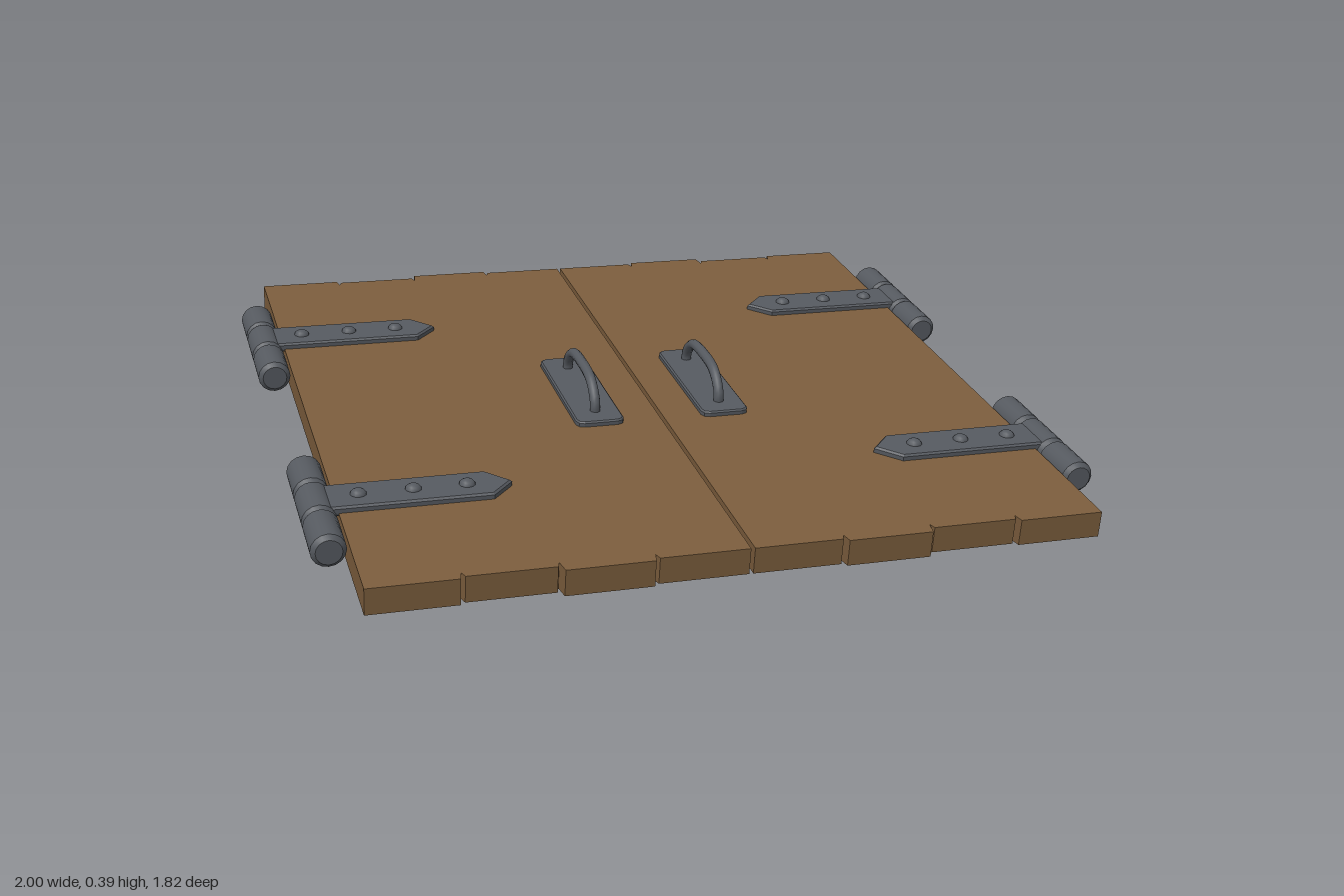
import * as THREE from 'three';
import { toCreasedNormals } from 'three/addons/utils/BufferGeometryUtils.js';

const wood = new THREE.MeshStandardMaterial({ color: 0x7a5c3c, side: THREE.DoubleSide });
const iron = new THREE.MeshStandardMaterial({ color: 0x55595f });
const TOP = 0.034; // half the plank thickness

function add(parent, name, geometry, material, x = 0, y = 0, z = 0) {
  const mesh = new THREE.Mesh(geometry, material);
  mesh.name = name;
  mesh.position.set(x, y, z);
  parent.add(mesh);
  return mesh;
}

// Flat outline in x and -z, thickened upwards from y = 0
function slab(points, depth, bevel = 0) {
  const shape = new THREE.Shape(points.map(([x, y]) => new THREE.Vector2(x, y)));
  const geometry = new THREE.ExtrudeGeometry(shape, {
    depth: depth - bevel, bevelEnabled: bevel > 0, bevelThickness: bevel,
    bevelSize: bevel, bevelOffset: -bevel, bevelSegments: 1,
  });
  return geometry.rotateX(-Math.PI / 2);
}

// Door leaf: four planks of uneven length, notched between, open underneath
function doorGeometry(side) {
  const edges = [0.005, 0.233, 0.46, 0.687, 0.911];
  const halves = [0.907, 0.917, 0.898, 0.907];
  const front = [];
  halves.forEach((h, i) => {
    front.push([side * (edges[i] + (i ? 0.006 : 0)), h]);
    front.push([side * (edges[i + 1] - (i < 3 ? 0.006 : 0)), h]);
    if (i < 3) front.push([side * edges[i + 1], Math.min(h, halves[i + 1]) - 0.018]);
  });
  const back = front.map(([x, z]) => [x, -z]).reverse();
  const geometry = slab([...front, ...back], TOP * 2);
  // drop the lower lid, which comes first
  const start = geometry.groups[0].count / 2;
  const shell = new THREE.BufferGeometry();
  for (const key of ['position', 'normal']) {
    shell.setAttribute(key, new THREE.BufferAttribute(geometry.attributes[key].array.slice(start * 3), 3));
  }
  return shell.translate(0, -TOP, 0);
}

// One bevelled hinge knuckle along z
function knuckleGeometry(length) {
  const h = length / 2, r = 0.043, b = 0.011;
  const profile = [[0, -h], [r - b, -h], [r, -h + b], [r, h - b], [r - b, h], [0, h]]
    .map(([x, y]) => new THREE.Vector2(x, y));
  return toCreasedNormals(new THREE.LatheGeometry(profile, 16).rotateX(Math.PI / 2), 0.6);
}

function createHinge(side, z) {
  const hinge = new THREE.Group();
  hinge.name = 'hinge';
  hinge.position.z = z;
  const length = 0.1425;
  for (const i of [-1, 0, 1]) {
    add(hinge, 'hingeKnuckle', knuckleGeometry(length), iron, side * 0.957, 0.018, i * length);
  }
  // pointed strap with three rivets
  const strap = [[0.955, -0.061], [0.955, 0.061], [0.535, 0.061], [0.478, 0], [0.535, -0.061]]
    .map(([x, y]) => [side * x, y]);
  add(hinge, 'hingeStrap', slab(strap, 0.02, 0.005), iron, 0, 0.03, 0);
  for (const x of [0.59, 0.722, 0.855]) {
    const rivet = new THREE.SphereGeometry(0.021, 12, 8).scale(1, 0.8, 1);
    add(hinge, 'rivet', rivet, iron, side * x, 0.047, 0);
  }
  return hinge;
}

function createHandle(side) {
  const handle = new THREE.Group();
  handle.name = 'handle';
  handle.position.x = side * 0.172;
  // back plate with softened corners
  const w = 0.065, l = 0.208, c = 0.02, k = 0.006;
  const quarter = [[w, l - c], [w - k, l - k], [w - c, l]];
  const mirror = (sx, sy, list) => list.map(([x, y]) => [x * sx, y * sy]);
  const reversed = [...quarter].reverse();
  const outline = [...quarter, ...mirror(-1, 1, reversed), ...mirror(-1, -1, quarter), ...mirror(1, -1, reversed)];
  add(handle, 'handlePlate', slab(outline, 0.018, 0.004), iron, 0, 0.03, 0);
  // arched grip
  const arch = [[-0.141, 0.026], [-0.138, 0.07], [-0.092, 0.112], [0, 0.123],
    [0.092, 0.112], [0.138, 0.07], [0.141, 0.026]];
  const path = new THREE.CatmullRomCurve3(arch.map(([z, y]) => new THREE.Vector3(0, y, z)));
  add(handle, 'handleGrip', new THREE.TubeGeometry(path, 28, 0.014, 10), iron);
  return handle;
}

export function createModel() {
  const model = new THREE.Group();
  model.name = 'cellarDoors';
  // the pair of leaves slopes down towards the front
  const slope = new THREE.Group();
  slope.name = 'slopedDoors';
  slope.position.y = 0.193;
  slope.rotation.x = THREE.MathUtils.degToRad(10);
  model.add(slope);
  for (const side of [-1, 1]) {
    const leaf = new THREE.Group();
    leaf.name = side > 0 ? 'leftDoor' : 'rightDoor';
    add(leaf, 'doorPlanks', doorGeometry(side), wood);
    for (const z of [-0.49, 0.49]) leaf.add(createHinge(side, z));
    leaf.add(createHandle(side));
    slope.add(leaf);
  }
  return model;
}
